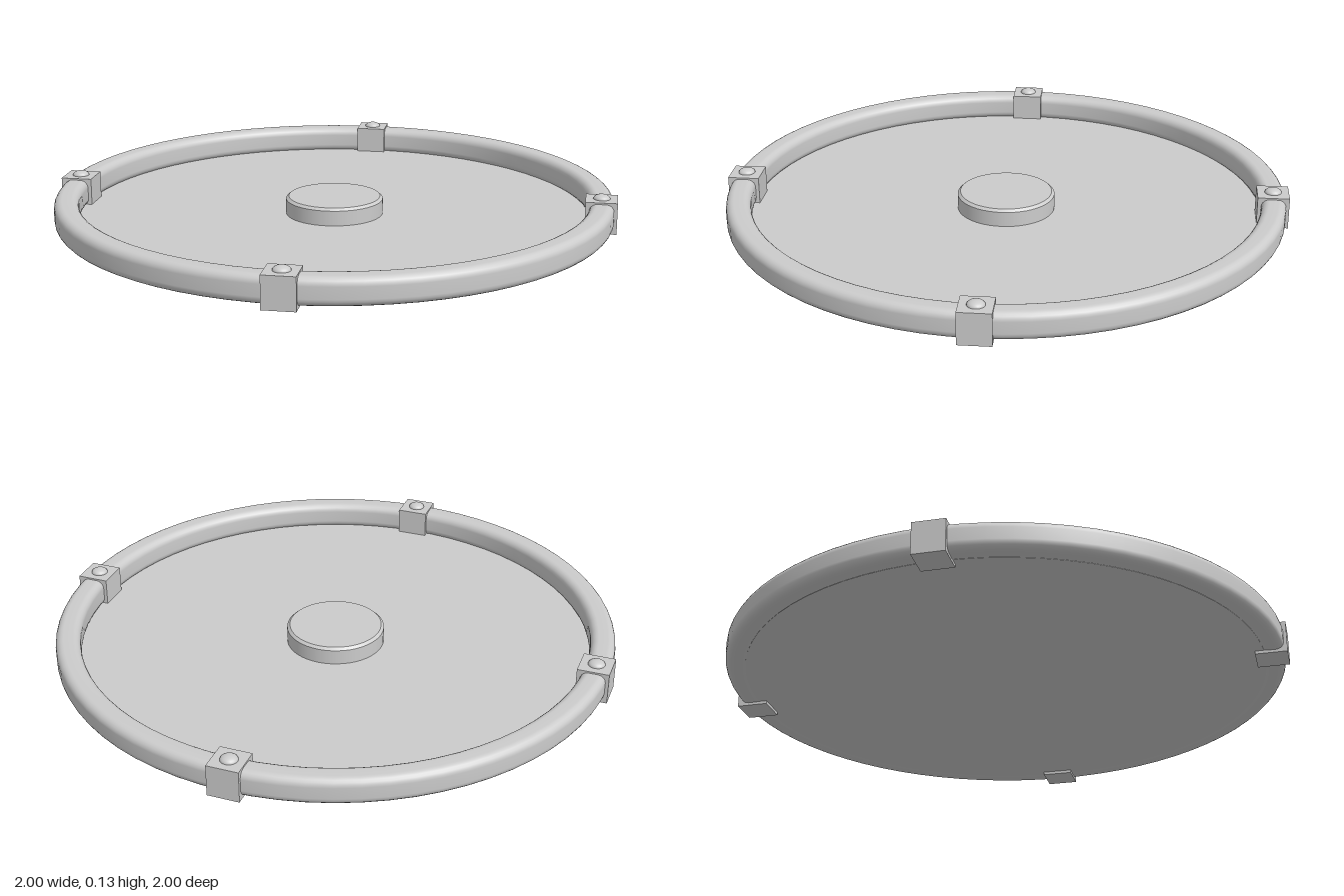
import * as THREE from 'three';

const material = new THREE.MeshStandardMaterial({ color: 0xcccccc });

function add(parent, name, geometry, x = 0, y = 0, z = 0) {
  const mesh = new THREE.Mesh(geometry, material);
  mesh.name = name;
  mesh.position.set(x, y, z);
  parent.add(mesh);
  return mesh;
}

// Closed rounded-rectangle section of the rim, turned around y
function rimGeometry(inner, outer, bottom, top, radius) {
  const points = [];
  const corners = [
    [outer - radius, bottom + radius, -Math.PI / 2],
    [outer - radius, top - radius, 0],
    [inner + radius, top - radius, Math.PI / 2],
    [inner + radius, bottom + radius, Math.PI],
  ];
  for (const [cx, cy, start] of corners) {
    for (let i = 0; i <= 5; i++) {
      const a = start + (i / 5) * (Math.PI / 2);
      points.push(new THREE.Vector2(cx + radius * Math.cos(a), cy + radius * Math.sin(a)));
    }
  }
  points.push(points[0].clone());
  return new THREE.LatheGeometry(points, 72);
}

export function createModel() {
  const model = new THREE.Group();
  model.name = 'roundTray';

  // Thin floor and raised rim
  add(model, 'floor', new THREE.CylinderGeometry(0.93, 0.93, 0.006, 72), 0, 0.014, 0);
  add(model, 'rim', rimGeometry(0.912, 1, 0.01, 0.107, 0.028));

  // Central hub with a small bevel
  add(model, 'hub', new THREE.CylinderGeometry(0.175, 0.175, 0.055, 48), 0, 0.0435, 0);
  add(model, 'hubBevel', new THREE.CylinderGeometry(0.165, 0.175, 0.009, 48), 0, 0.0755, 0);

  // Four clamps with domed screws on the diagonals
  for (let i = 0; i < 4; i++) {
    const clamp = new THREE.Group();
    clamp.name = 'clamp' + (i + 1);
    clamp.rotation.y = Math.PI / 4 + (i * Math.PI) / 2;
    add(clamp, 'clampBlock', new THREE.BoxGeometry(0.112, 0.113, 0.112), 0.953, 0.0565, 0);
    const dome = new THREE.SphereGeometry(0.03, 20, 8, 0, Math.PI * 2, 0, Math.PI / 2);
    dome.scale(1, 0.55, 1);
    add(clamp, 'screwHead', dome, 0.953, 0.113, 0);
    model.add(clamp);
  }
  return model;
}
